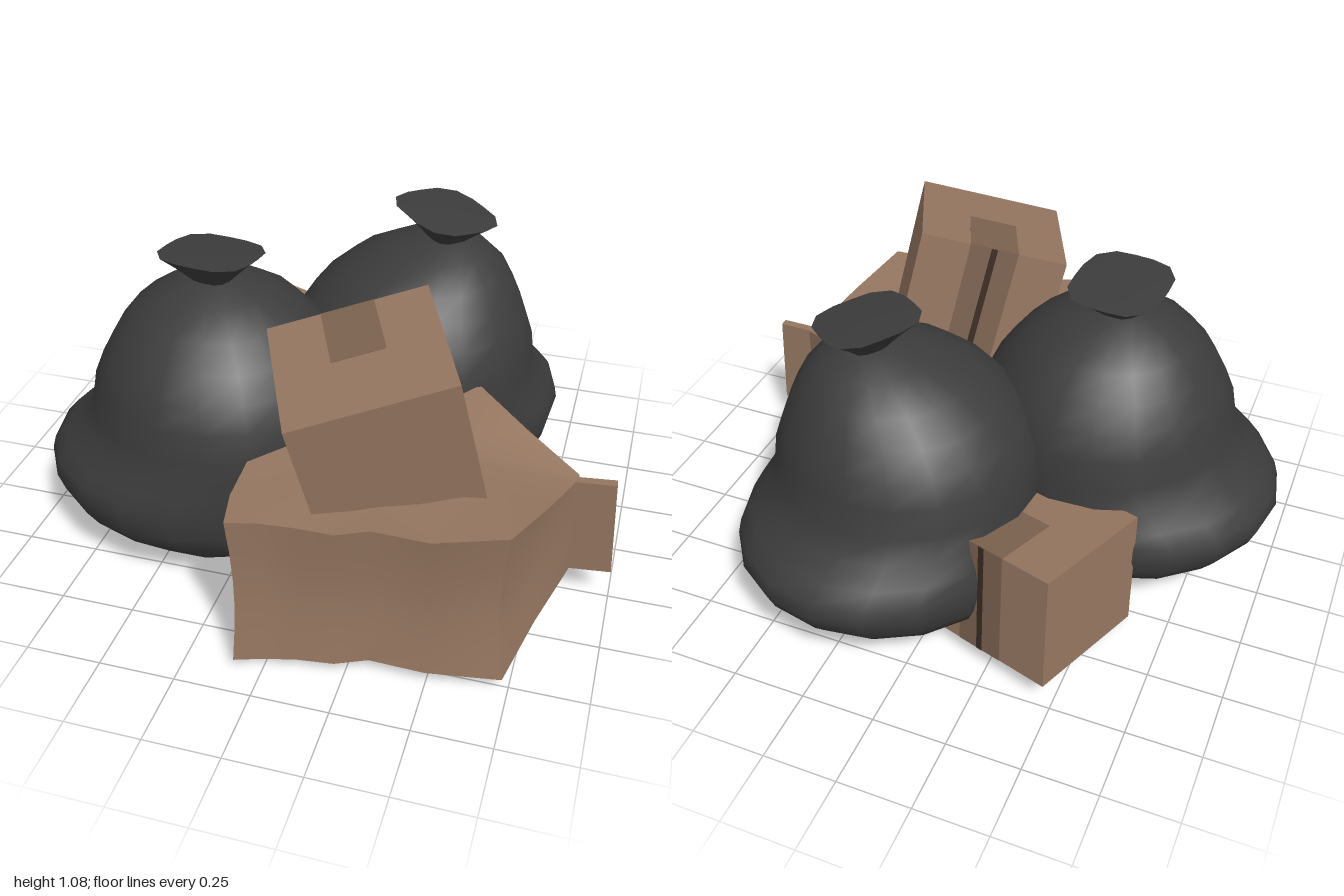
import * as THREE from 'three';
import { toCreasedNormals } from 'three/addons/utils/BufferGeometryUtils.js';

const mat = (color) => new THREE.MeshStandardMaterial({ color });
const bagMat = mat(0x3c3c3c);
const cardMat = mat(0x957660);
const tapeMat = mat(0x7c6250);
const seamMat = mat(0x3a2c22);

function named(name, geometry, material) {
  const mesh = new THREE.Mesh(geometry, material);
  mesh.name = name;
  return mesh;
}

// Skin over closed rings (counter-clockwise from above, bottom to top), fanned shut at both ends
function loft(rings, bottom, top) {
  const n = rings[0].length;
  const pos = [...rings.flat(2), ...bottom, ...top];
  const b = n * rings.length, t = b + 1, last = n * (rings.length - 1);
  const index = [];
  for (let j = 0; j < n; j++) {
    const k = (j + 1) % n;
    for (let i = 0; i < rings.length - 1; i++) {
      const a = i * n, c = a + n;
      index.push(a + j, a + k, c + k, a + j, c + k, c + j);
    }
    index.push(b, k, j, t, last + j, last + k);
  }
  const geo = new THREE.BufferGeometry();
  geo.setAttribute('position', new THREE.Float32BufferAttribute(pos, 3));
  geo.setIndex(index);
  geo.computeVertexNormals();
  return geo;
}

// Sagging sack: height, reach behind, reach towards the slump, half width
const sack = [
  [0.01, -0.2, 0.05, 0.12], [0.03, -0.29, 0.19, 0.25], [0.09, -0.36, 0.4, 0.38],
  [0.17, -0.375, 0.56, 0.455], [0.22, -0.385, 0.605, 0.475], [0.28, -0.395, 0.63, 0.485],
  [0.33, -0.405, 0.615, 0.482], [0.38, -0.42, 0.57, 0.47], [0.44, -0.435, 0.5, 0.455],
  [0.52, -0.445, 0.45, 0.445], [0.62, -0.43, 0.43, 0.43], [0.7, -0.395, 0.395, 0.395],
  [0.78, -0.345, 0.345, 0.345], [0.86, -0.275, 0.275, 0.275], [0.92, -0.18, 0.18, 0.18],
  [0.955, -0.075, 0.075, 0.075],
];

function makeBag(name, { x, z, angle, neck, tilt, twist, lift }) {
  const bag = new THREE.Group();
  bag.name = name;
  const n = 18, dx = Math.cos(angle), dz = -Math.sin(angle);
  const ringAngles = (count) => Array.from({ length: count }, (_, j) => (j / count) * Math.PI * 2);

  // body, its top drifting over to the neck
  const rings = sack.map(([y, lo, hi, w]) => ringAngles(n).map((th) => {
    const a = (lo + hi) / 2 + ((hi - lo) / 2) * Math.cos(th), s = w * Math.sin(th);
    const k = (y / 0.955) ** 7;
    return [x + a * dx + s * dz + (neck[0] - x) * k, y, z + a * dz - s * dx + (neck[1] - z) * k];
  }));
  const first = rings[0];
  const mean = (i) => first.reduce((sum, p) => sum + p[i], 0) / n;
  bag.add(named('bagBody', loft(rings, [mean(0), 0.006, mean(2)], [neck[0], 0.96, neck[1]]), bagMat));

  // gathered, squarish flare above the knot
  const flare = [[0.93, 0.05], [0.96, 0.078], [1.0, 0.12], [1.04, 0.168]].map(([y, r]) =>
    ringAngles(16).map((th) => {
      const q = r * (1 + 0.07 * Math.cos(4 * (th - twist)));
      const px = q * Math.cos(th), pz = -q * Math.sin(th);
      return [neck[0] + px, y + lift + px * tilt[0] + pz * tilt[1], neck[1] + pz];
    }));
  const flareGeo = loft(flare, [neck[0], 0.92, neck[1]], [neck[0], 1.05 + lift, neck[1]]);
  bag.add(named('bagTie', toCreasedNormals(flareGeo, 0.8), bagMat));
  return bag;
}

// Closed carton with tape over the opening side (-z)
function makeCarton(name, w, h, d) {
  const box = new THREE.Group();
  box.name = name;
  box.add(named('carton', new THREE.BoxGeometry(w, h, d), cardMat));
  const e = 0.003;
  for (const s of [1, -1]) {
    const strip = named(s > 0 ? 'topTape' : 'bottomTape', new THREE.BoxGeometry(0.17, e, d / 2), tapeMat);
    strip.position.set(0, s * h / 2, -d / 4);
    box.add(strip);
  }
  const back = named('sideTape', new THREE.BoxGeometry(0.17, h, e), tapeMat);
  back.position.z = -d / 2;
  const seam = named('seam', new THREE.BoxGeometry(0.022, h, e * 2), seamMat);
  seam.position.z = -d / 2;
  box.add(back, seam);
  return box;
}

// Crushed carton: outline x, z, bottom height, top height, waist pinch, shift of the top in x and z
function makeCrushedBox() {
  const box = new THREE.Group();
  box.name = 'crushedBox';
  const outline = [
    [-0.09, 0.9, 0.03, 0.56, 0.02, -0.01, -0.015], [0, 0.875, 0.035, 0.56, 0.02, 0, -0.015],
    [0.1, 0.85, 0.035, 0.55, 0.02, 0, -0.01], [0.22, 0.845, 0.045, 0.55, 0.02, 0, -0.005],
    [0.32, 0.805, 0.05, 0.56, 0.02], [0.5, 0.81, 0.05, 0.56, 0.02],
    [0.73, 0.77, 0.045, 0.585, 0.035, -0.01, -0.01], [0.79, 0.53, 0.085, 0.53, 0.015],
    [0.86, 0.3, 0.12, 0.475, 0, -0.01], [0.87, 0.25, 0.12, 0.475, 0, -0.01],
    [0.67, 0.125, 0.09, 0.53, 0.015], [0.49, -0.005, 0.045, 0.585, 0.03],
    [0.3, 0.06, 0.04, 0.56, 0.03], [0.1, 0.125, 0.025, 0.555, 0.02, 0.04, -0.01],
    [-0.2, 0.25, 0, 0.54, 0.01, 0.3, -0.05], [-0.18, 0.42, 0.01, 0.55, 0.02, 0.18, -0.02],
    [-0.15, 0.6, 0.02, 0.55, 0.02, 0.01, -0.03], [-0.12, 0.75, 0.025, 0.555, 0.02, -0.01, 0],
  ];
  const cx = 0.3, cz = 0.32;
  const rings = [0, 0.2, 0.4, 0.6, 0.8, 1].map((t) => outline.map(([x, z, lo, hi, pinch, sx = 0, sz = 0]) => {
    const px = x + sx * t - cx, pz = z + sz * t - cz;
    const k = 1 - (pinch * Math.sin(Math.PI * t)) / Math.hypot(px, pz);
    return [cx + px * k, lo + (hi - lo) * t, cz + pz * k];
  }));
  const geo = loft(rings, [cx, 0.05, cz], [cx, 0.54, cz]);
  box.add(named('crushedWalls', toCreasedNormals(geo, 0.6), cardMat));

  // pinched fold of card sticking out of the side
  const fold = named('sideFold', new THREE.BoxGeometry(0.15, 0.35, 0.03), cardMat);
  fold.position.set(0.915, 0.3, 0.27);
  fold.rotation.set(0, 0.06, 0.05);
  box.add(fold);
  return box;
}

// Turn a part so its local x and z follow two given directions
function orient(part, x, z) {
  const ux = new THREE.Vector3(...x).normalize();
  const uy = new THREE.Vector3(...z).cross(ux).normalize();
  const uz = new THREE.Vector3().crossVectors(ux, uy);
  part.quaternion.setFromRotationMatrix(new THREE.Matrix4().makeBasis(ux, uy, uz));
}

export function createModel() {
  const model = new THREE.Group();
  model.name = 'rubbishPile';

  model.add(makeBag('rightBag', {
    x: -0.365, z: 0.16, angle: Math.PI, neck: [-0.39, 0.15], tilt: [-0.03, 0.12], twist: 0.65, lift: 0,
  }));
  model.add(makeBag('leftBag', {
    x: 0.17, z: -0.305, angle: 1.18, neck: [0.275, -0.355], tilt: [-0.18, 0], twist: 0.1, lift: 0.005,
  }));

  model.add(makeCrushedBox());

  // box leaning between the bags
  const back = makeCarton('backBox', 0.53, 0.41, 0.46);
  orient(back, [0.946, -0.06, 0.324], [-0.324, -0.1, 0.946]);
  back.position.set(-0.295, 0.257, -0.425);
  model.add(back);

  // box resting tilted on the crushed one
  const top = makeCarton('topBox', 0.515, 0.48, 0.495);
  orient(top, [0.47, 0.1275, -0.19], [0.18, -0.0575, 0.45]);
  top.position.set(0.245, 0.727, 0.462);
  model.add(top);

  return model;
}
